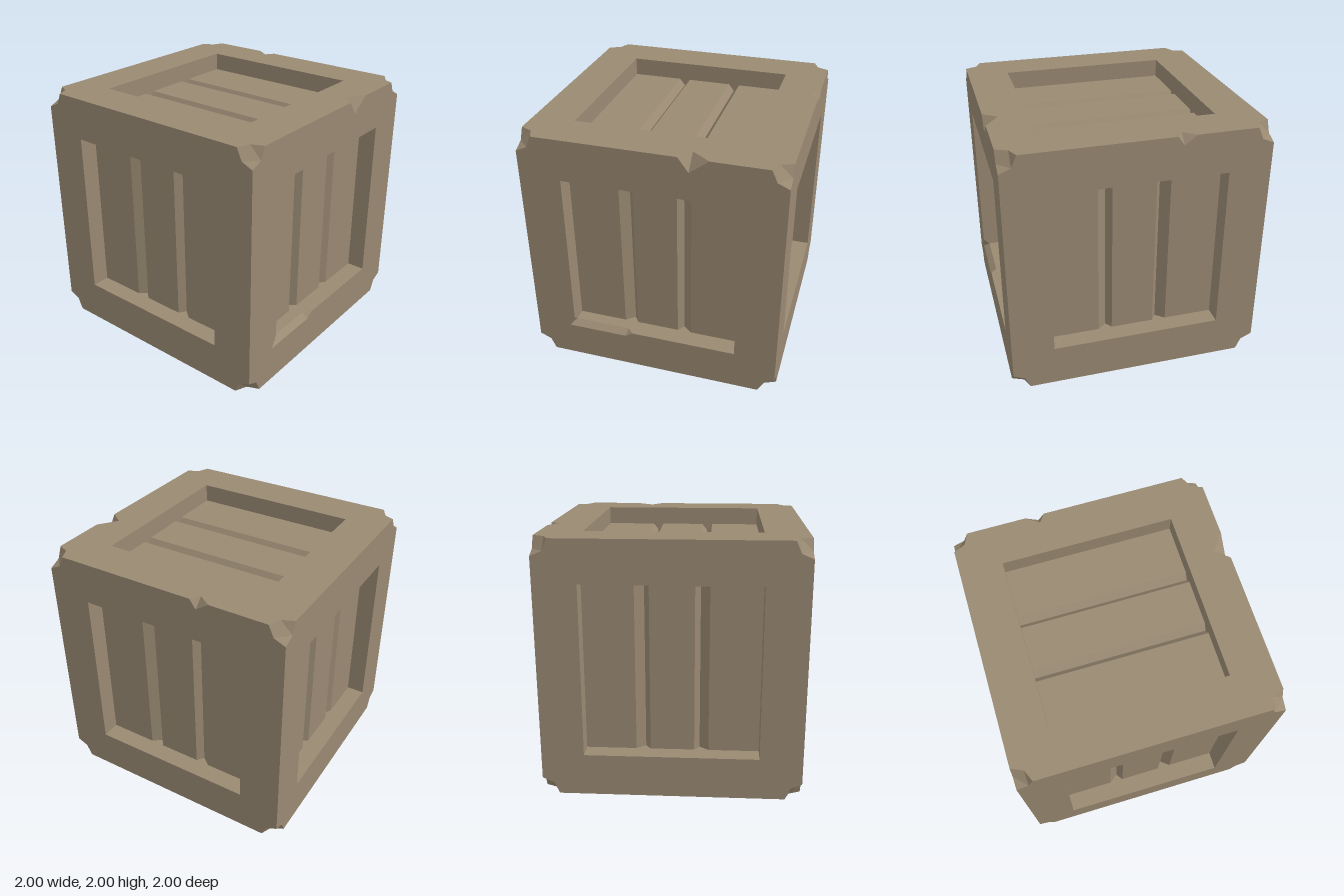
import * as THREE from 'three';

const HOLE = 0.67, PANEL = 0.855, GROOVE = 0.8, BACK = 0.79;

// Flat-shaded geometry from convex (or star-shaped from the first corner) polygons
function polyGeometry(polys) {
  const pos = [];
  for (const p of polys)
    for (let i = 1; i < p.length - 1; i++) pos.push(...p[0], ...p[i], ...p[i + 1]);
  const g = new THREE.BufferGeometry();
  g.setAttribute('position', new THREE.Float32BufferAttribute(pos, 3));
  g.computeVertexNormals();
  return g;
}

// Square outline with chipped corners; notches are [side, start, apex, end, depth]
function outline(notches) {
  const pts = [];
  for (let k = 0; k < 4; k++) {
    const local = [[-0.91, -0.91], [-0.87, -1]];
    for (const [side, a, b, c, d] of notches)
      if (side === k) local.push([a, -1], [b, -1 + d], [c, -1]);
    local.push([0.87, -1]);
    for (const [x, y] of local)
      pts.push(new THREE.Vector2(x, y).rotateAround(new THREE.Vector2(), k * Math.PI / 2));
  }
  return pts;
}

export function createModel() {
  const model = new THREE.Group();
  const wood = new THREE.MeshStandardMaterial({ color: 0x998972 });
  wood.name = 'weathered wood';
  const add = (parent, name, geometry) => {
    const m = new THREE.Mesh(geometry, wood);
    m.name = name;
    parent.add(m);
  };

  const square = [[-HOLE, -HOLE], [HOLE, -HOLE], [HOLE, HOLE], [-HOLE, HOLE]];
  const sideGrooves = [-0.28, -0.21, -0.17, 0.17, 0.21, 0.28];
  const lidGrooves = [-0.27, -0.225, -0.18, 0.175, 0.22, 0.265];

  // One crate side in its own frame: u across the planks, v along them, n outward
  function crateSide(name, u, v, n, grooves, notches = [], splintered = false) {
    const side = new THREE.Group();
    side.name = name;

    // Frame border with its opening
    const hole = splintered
      ? [[-HOLE, -0.62], [-0.715, -0.71], [-0.23, -0.71], [-0.17, -HOLE], ...square.slice(1)]
      : square;
    const shape = new THREE.Shape(outline(notches));
    shape.holes.push(new THREE.Path(hole.map(([x, y]) => new THREE.Vector2(x, y))));
    add(side, 'frame', new THREE.ShapeGeometry(shape).translate(0, 0, 1));

    // Inner walls of the opening
    const walls = square.map(([x, y], i) => {
      const [x2, y2] = square[(i + 1) % 4];
      return [[x2, y2, BACK], [x2, y2, 1], [x, y, 1], [x, y, BACK]];
    });
    if (splintered) {
      walls[0] = [[HOLE, -HOLE, BACK], [HOLE, -HOLE, 1], [-0.17, -HOLE, 1],
        [-0.22, -HOLE, 0.95], [-HOLE, -HOLE, 0.95], [-HOLE, -HOLE, BACK]];
      walls[3] = [[-HOLE, HOLE, BACK], [-HOLE, -HOLE, BACK], [-HOLE, -HOLE, 0.95],
        [-HOLE, -0.62, 1], [-HOLE, HOLE, 1]].reverse();
      // Splintered lower lip
      const A = [-HOLE, -0.62, 1], B = [-0.715, -0.71, 1], C = [-0.23, -0.71, 1];
      const D = [-0.17, -HOLE, 1], E = [-0.22, -HOLE, 0.95], F = [-HOLE, -HOLE, 0.95];
      add(side, 'splinteredLip', polyGeometry([[A, B, F], [B, C, E, F], [C, D, E]]));
    }
    add(side, 'innerWalls', polyGeometry(walls.map(orientInward)));

    // Recessed planks with V grooves between them
    const profile = [[-HOLE, PANEL],
      ...grooves.map((x, i) => [x, i % 3 === 1 ? GROOVE : PANEL]), [HOLE, PANEL]];
    const strips = [];
    for (let i = 0; i < profile.length - 1; i++) {
      const [a, da] = profile[i], [b, db] = profile[i + 1];
      strips.push([[a, -HOLE, da], [b, -HOLE, db], [b, HOLE, db], [a, HOLE, da]]);
    }
    add(side, 'planks', polyGeometry(strips));

    side.applyMatrix4(new THREE.Matrix4().makeBasis(
      new THREE.Vector3(...u), new THREE.Vector3(...v), new THREE.Vector3(...n)));
    side.position.y = 1;
    model.add(side);
  }

  // Turn a wall polygon so that it faces the middle of the opening
  function orientInward(p) {
    const [a, b, c] = p.slice(0, 3).map(q => new THREE.Vector3(...q));
    const normal = b.clone().sub(a).cross(c.clone().sub(a));
    const centre = p.reduce((s, q) => s.add(new THREE.Vector3(q[0], q[1], 0)), new THREE.Vector3());
    return normal.dot(centre) > 0 ? [p[0], ...p.slice(1).reverse()] : p;
  }

  crateSide('frontSide', [1, 0, 0], [0, 1, 0], [0, 0, 1], sideGrooves);
  crateSide('backSide', [-1, 0, 0], [0, 1, 0], [0, 0, -1], sideGrooves,
    [[2, -0.41, -0.31, -0.26, 0.07]]);
  crateSide('leftSide', [0, 0, -1], [0, 1, 0], [1, 0, 0], sideGrooves,
    [[2, -0.445, -0.3, -0.22, 0.11]], true);
  crateSide('rightSide', [0, 0, 1], [0, 1, 0], [-1, 0, 0], sideGrooves);
  crateSide('topSide', [0, 0, 1], [1, 0, 0], [0, 1, 0], lidGrooves,
    [[2, 0.22, 0.3, 0.445, 0.11], [3, 0.26, 0.31, 0.41, 0.07]]);
  crateSide('bottomSide', [0, 0, -1], [1, 0, 0], [0, -1, 0], lidGrooves);

  // Chipped corners
  const chips = [];
  for (const sx of [-1, 1]) for (const sy of [-1, 1]) for (const sz of [-1, 1]) {
    const at = (x, y, z) => [x * sx, 1 + y * sy, z * sz];
    const A = at(0.87, 1, 1), B = at(1, 0.87, 1), C = at(1, 1, 0.87);
    const AB = at(0.91, 0.91, 1), BC = at(1, 0.91, 0.91), CA = at(0.91, 1, 0.91);
    for (const t of [[AB, BC, CA], [A, AB, CA], [B, BC, AB], [C, CA, BC]])
      chips.push(sx * sy * sz > 0 ? t : t.reverse());
  }
  add(model, 'cornerChips', polyGeometry(chips));

  // Nicks in the top edges
  const nick = (P, Q, R, T) => [[P, R, T], [Q, T, R]];
  add(model, 'edgeNicks', polyGeometry([
    ...nick([1, 2, -0.22], [1, 2, -0.445], [1, 1.89, -0.3], [0.89, 2, -0.3]),
    ...nick([-0.26, 2, -1], [-0.41, 2, -1], [-0.31, 1.93, -1], [-0.31, 2, -0.93]),
  ]));
  return model;
}
